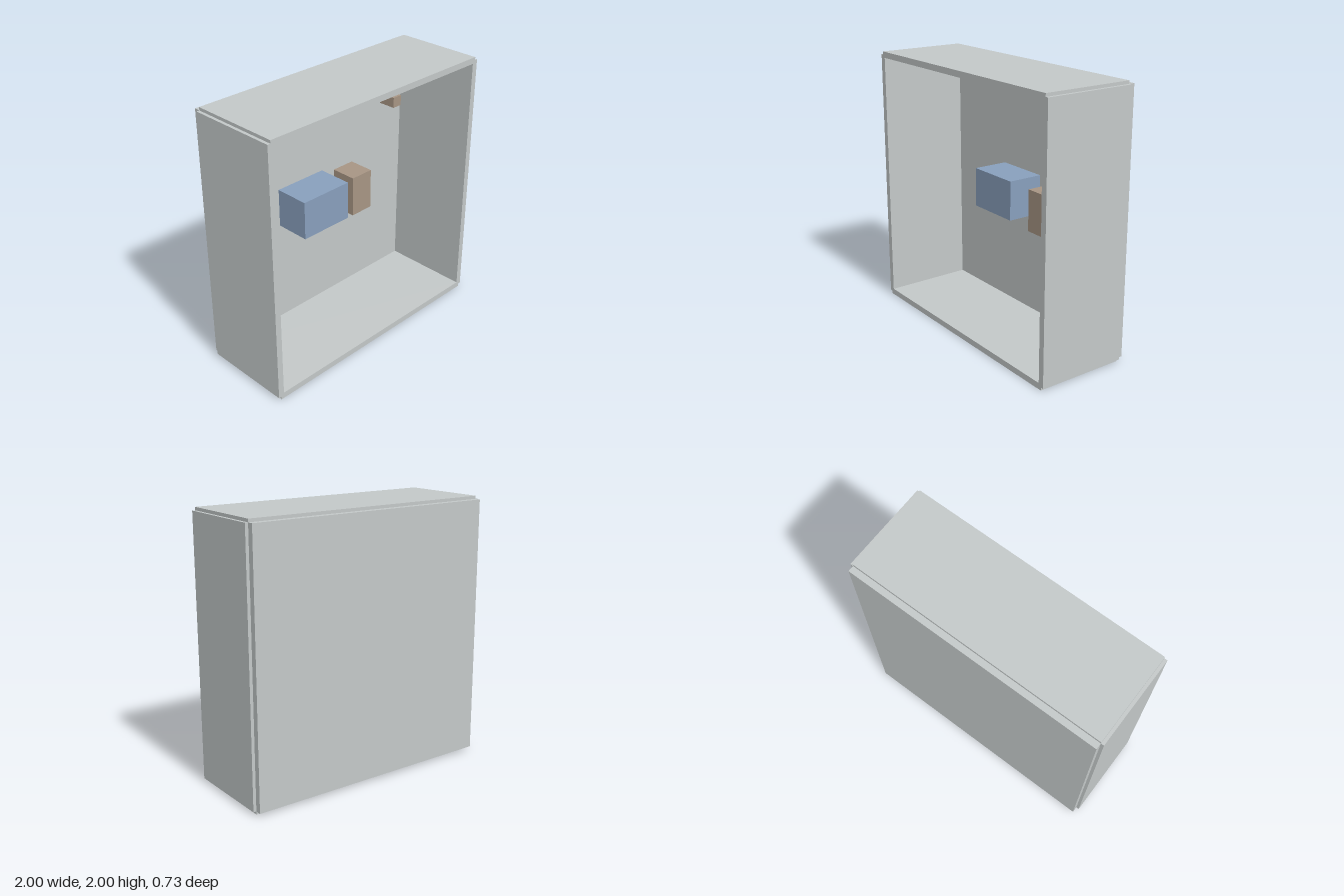
import * as THREE from 'three';

const wall = 0.046;            // panel thickness
const step = wall / 2;         // notch at the panel joints
const front = 0.366, backInner = -0.32;

export function createModel() {
  const model = new THREE.Group();
  model.name = 'openCabinet';

  const material = (name, color) => {
    const m = new THREE.MeshStandardMaterial({ color });
    m.name = name;
    return m;
  };
  const grey = material('paleGrey', 0xc3c8c8);
  const blue = material('dustyBlue', 0x889fbc);
  const brown = material('warmBrown', 0xa79584);

  const add = (name, geometry, mat) => {
    const mesh = new THREE.Mesh(geometry, mat);
    mesh.name = name;
    model.add(mesh);
    return mesh;
  };

  // Box given by its limits on each axis
  const box = (name, mat, [x0, x1], [y0, y1], [z0, z1]) => {
    const mesh = add(name, new THREE.BoxGeometry(x1 - x0, y1 - y0, z1 - z0), mat);
    mesh.position.set((x0 + x1) / 2, (y0 + y1) / 2, (z0 + z1) / 2);
  };

  // Four walls as one frame, with small notches at the corners
  const a = 1, b = 1 - step, c = 1 - wall;
  const points = (list) => list.map(([x, y]) => new THREE.Vector2(x, y + 1));
  const outline = new THREE.Shape(points([
    [-b, -a], [b, -a], [b, -b], [a, -b], [a, b], [b, b],
    [b, a], [-b, a], [-b, b], [-a, b], [-a, -b], [-b, -b],
  ]));
  outline.holes.push(new THREE.Path(points([[-c, -c], [-c, c], [c, c], [c, -c]])));
  const frame = new THREE.ExtrudeGeometry(outline, { depth: front - backInner, bevelEnabled: false });
  frame.translate(0, 0, backInner);
  add('wallFrame', frame, grey);

  // Back panel, set in from the frame's outer edge
  box('backPanel', grey, [-b, b], [step, 2 - step], [-front, backInner]);

  // Blocks mounted on the inside of the back panel
  box('largeBlock', blue, [-0.345, 0.09], [0.855, 1.155], [backInner, -0.045]);
  box('uprightBlock', brown, [0.215, 0.41], [0.795, 1.115], [backInner, -0.115]);
  box('smallPeg', brown, [0.615, 0.695], [1.575, 1.655], [backInner, -0.085]);

  return model;
}
